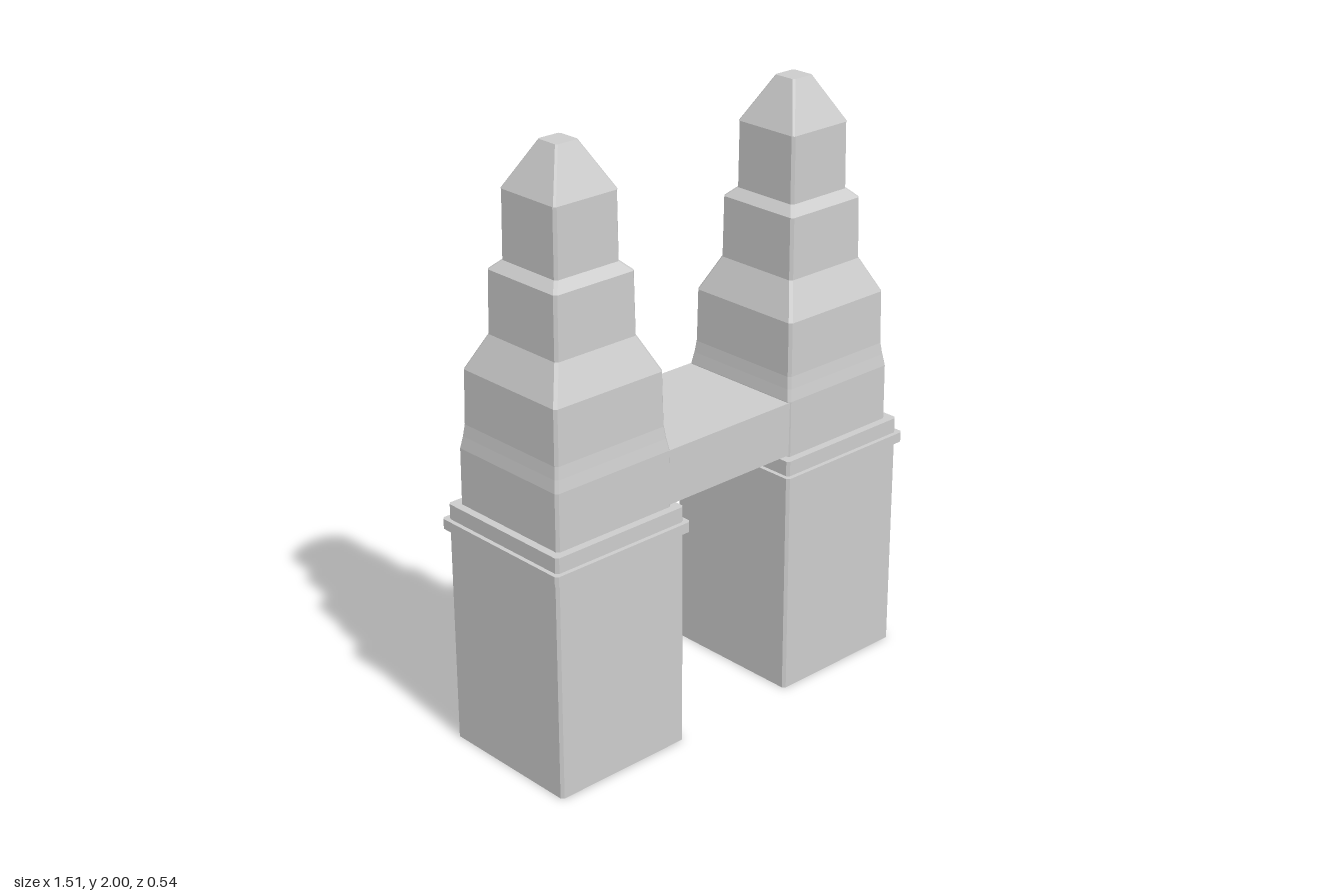
import * as THREE from 'three';

const material = new THREE.MeshStandardMaterial({ color: 0xcccccc, flatShading: true });

// Square ring with small chamfered corners, counter-clockwise seen from +y
function ring(half, y, chamfer) {
  const c = half - chamfer;
  return [
    [half, c], [half, -c], [c, -half], [-c, -half],
    [-half, -c], [-half, c], [-c, half], [c, half],
  ].map(([x, z]) => new THREE.Vector3(x, y, z));
}

// Closed solid through stacked rings; profile is [half width, height] from bottom to top
function stackedBlock(name, profile, chamfer = 0.009) {
  const rings = profile.map(([h, y]) => ring(h, y, chamfer));
  const pos = [];
  const tri = (...pts) => pts.forEach((p) => pos.push(p.x, p.y, p.z));
  for (let i = 0; i < rings.length - 1; i++) {
    const a = rings[i], b = rings[i + 1];
    for (let k = 0; k < 8; k++) {
      const n = (k + 1) % 8;
      tri(a[k], a[n], b[n]);
      tri(a[k], b[n], b[k]);
    }
  }
  const bottom = rings[0], top = rings[rings.length - 1];
  for (let k = 1; k < 7; k++) {
    tri(top[0], top[k], top[k + 1]);
    tri(bottom[0], bottom[k + 1], bottom[k]);
  }
  const geometry = new THREE.BufferGeometry();
  geometry.setAttribute('position', new THREE.Float32BufferAttribute(pos, 3));
  geometry.computeVertexNormals();
  const mesh = new THREE.Mesh(geometry, material);
  mesh.name = name;
  return mesh;
}

function createTower(name) {
  const tower = new THREE.Group();
  tower.name = name;
  tower.add(
    // plain square shaft with its projecting band
    stackedBlock('shaft', [[0.257, 0], [0.257, 0.83]]),
    stackedBlock('band', [[0.272, 0.745], [0.272, 0.779]]),
    // body that narrows slightly, then slopes in at the shoulder
    stackedBlock('body', [[0.23, 0.83], [0.229, 1.02], [0.222, 1.06], [0.217, 1.1], [0.214, 1.28], [0.159, 1.395]]),
    // two upper tiers and the blunt pyramid cap
    stackedBlock('upperTier', [[0.159, 1.395], [0.156, 1.6], [0.125, 1.63]]),
    stackedBlock('topTier', [[0.125, 1.63], [0.123, 1.85]]),
    stackedBlock('cap', [[0.123, 1.85], [0.042, 2]], 0.006),
  );
  return tower;
}

export function createModel() {
  const model = new THREE.Group();
  model.name = 'twinTowers';

  for (const side of [-1, 1]) {
    const tower = createTower(side > 0 ? 'leftTower' : 'rightTower');
    tower.position.x = side * 0.485;
    model.add(tower);
  }

  // solid bridge joining the towers
  const bridge = new THREE.Mesh(new THREE.BoxGeometry(0.53, 0.183, 0.452), material);
  bridge.name = 'bridge';
  bridge.position.y = 0.9265;
  model.add(bridge);

  return model;
}
